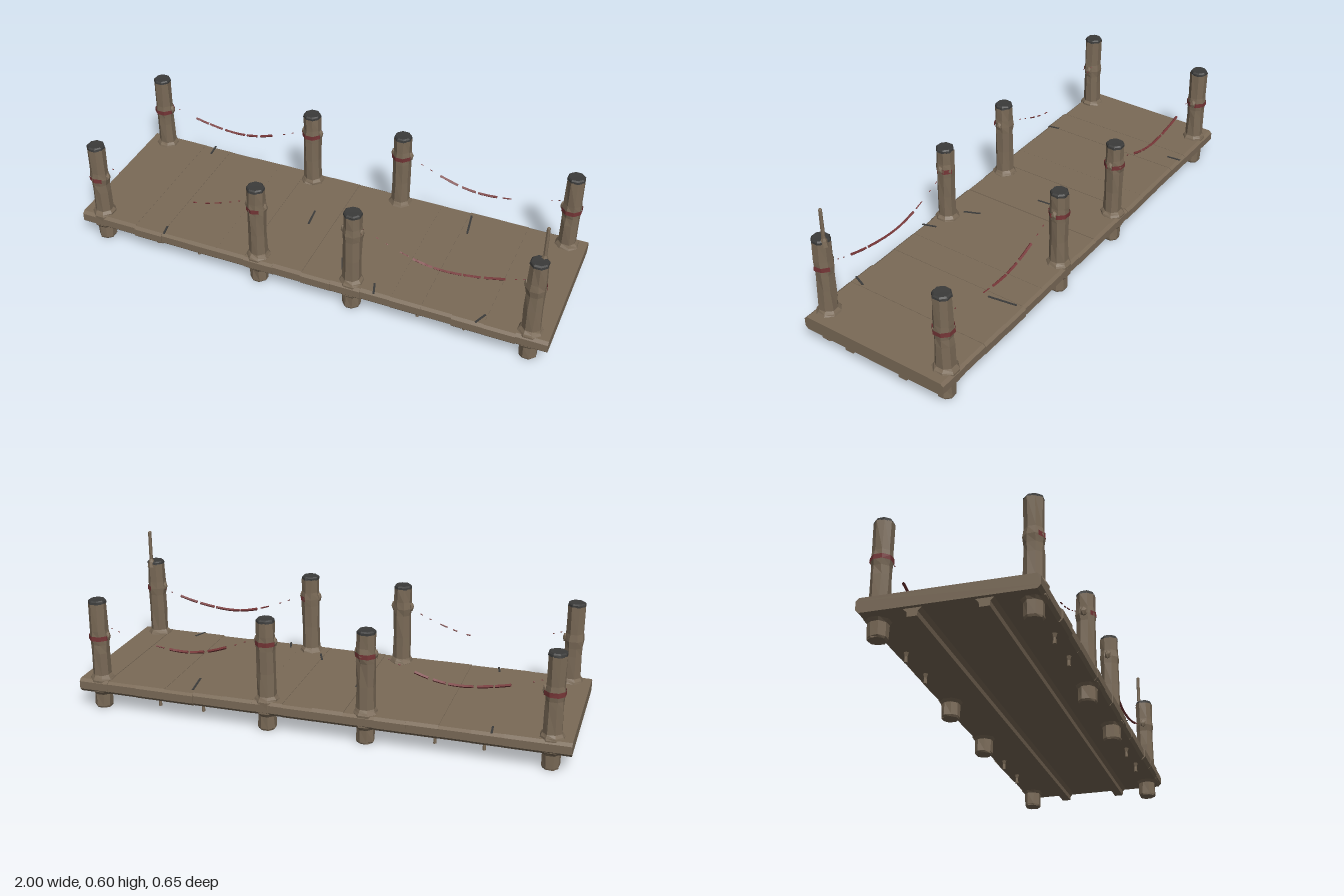
import * as THREE from 'three';

const wood = new THREE.MeshStandardMaterial({ color: 0x7a6a57 });
wood.name = 'weathered wood';
const char = new THREE.MeshStandardMaterial({ color: 0x3b3b3a });
char.name = 'dark end grain';
const red = new THREE.MeshStandardMaterial({ color: 0x743536, side: THREE.DoubleSide });
red.name = 'faded red rope';

const hash = (a, b, c) => {
  const s = Math.sin(a * 12.99 + b * 78.23 + c * 37.72) * 43758.55;
  return (s - Math.floor(s)) * 2 - 1;
};

// Shift matching corners together, then facet the surface
function rough(geometry, amount, seed = 0) {
  const p = geometry.attributes.position;
  for (let i = 0; i < p.count; i++) {
    const k = [p.getX(i), p.getY(i), p.getZ(i)].map(v => Math.round(v * 1000));
    const x = p.getX(i) + hash(k[0] + seed, k[1], k[2]) * amount;
    const z = p.getZ(i) + hash(k[2], k[0] + seed, k[1]) * amount;
    p.setXYZ(i, x, p.getY(i), z);
  }
  const flat = geometry.index ? geometry.toNonIndexed() : geometry;
  flat.computeVertexNormals();
  return flat;
}

function add(parent, name, geometry, material, x = 0, y = 0, z = 0) {
  const mesh = new THREE.Mesh(geometry, material);
  mesh.name = name;
  mesh.position.set(x, y, z);
  parent.add(mesh);
  return mesh;
}

const lathe = (points, sides = 8) =>
  new THREE.LatheGeometry(points.map(([r, y]) => new THREE.Vector2(r, y)), sides);

// A (z, y) outline swept along x, centred on x = 0
function sweepX(outline, length) {
  const shape = new THREE.Shape(outline.map(([z, y]) => new THREE.Vector2(-z, y)));
  const g = new THREE.ExtrudeGeometry(shape, { depth: length, bevelEnabled: false });
  g.translate(0, 0, -length / 2);
  g.rotateY(Math.PI / 2);
  return g;
}

function addPost(group, x, z, seed) {
  const post = new THREE.Group();
  post.name = 'post';
  post.position.set(x, 0, z);
  post.rotation.y = Math.PI / 8;
  group.add(post);
  const inner = Math.abs(x) < 0.5;
  const bandY = inner ? 0.365 : z > 0 && x > 0 ? 0.34 : 0.305;
  add(post, 'postShaft', rough(lathe([
    [0, 0], [0.033, 0], [0.037, 0.008], [0.037, 0.06], [0.05, 0.076], [0.05, 0.126],
    [0.046, 0.134], [0.038, 0.145], [0.037, 0.24], [bandY > 0.35 ? 0.038 : 0.036, bandY - 0.03],
    [0.04, bandY], [0.037, bandY + 0.03], [0.037, 0.452],
  ]), 0.0022, seed), wood);
  add(post, 'postTop', rough(lathe([[0.0375, 0.45], [0.036, 0.459], [0.031, 0.464], [0, 0.463]]),
    0.001, seed), char);

  // Worn rope wrap: whole on the back posts, a remnant on the front posts
  const whole = z < 0;
  const wrap = new THREE.CylinderGeometry(0.0425, 0.0425, 0.019, whole ? 8 : 2, 1, true,
    whole ? 0 : (x > 0 ? 0.9 : -1.3), whole ? Math.PI * 2 : Math.PI / 2);
  add(post, 'ropeWrap', rough(wrap, 0.001, seed), red, 0, bandY, 0);

  // Rope knots on the sides that face the neighbouring posts
  for (const side of [-1, 1]) {
    if (!inner && side === Math.sign(x)) continue;
    const knot = add(group, 'ropeKnot', rough(new THREE.IcosahedronGeometry(0.014, 0), 0.001, seed),
      wood, x + side * 0.037, bandY + 0.005, z);
    knot.scale.set(0.8, 1.5, 1);
  }
}

export function createModel() {
  const model = new THREE.Group();
  model.name = 'woodenWalkway';

  // Deck planks laid across the walkway, with uneven ends
  const deck = new THREE.Group();
  deck.name = 'deck';
  model.add(deck);
  const planks = 16, width = 2 / planks;
  for (let i = 0; i < planks; i++) {
    const f = 0.322 + hash(i, 1, 2) * 0.004, b = -0.322 + hash(i, 4, 3) * 0.004;
    const top = 0.126 + hash(i, 7, 5) * 0.0018;
    add(deck, 'plank', sweepX([
      [b + 0.012, 0.071], [b, 0.084], [b, 0.116], [b + 0.012, top],
      [f - 0.012, top], [f, 0.116], [f, 0.084], [f - 0.012, 0.071],
    ], width), wood, -1 + width * (i + 0.5), 0, 0);
  }

  // Thin dark cracks on the deck
  for (const [x, z, l, a] of [[-0.1, -0.02, 0.09, 0.1], [0.13, 0.2, 0.07, 0.4],
    [0.52, -0.23, 0.12, 0.15], [-0.62, 0.29, 0.05, 0.2], [0.73, 0.29, 0.06, -0.4],
    [-0.7, -0.29, 0.06, 0.1], [0.3, 0.29, 0.06, 0.3]]) {
    const crack = add(deck, 'crack', new THREE.BoxGeometry(0.008, 0.002, l), char, x, 0.128, z);
    crack.rotation.y = a;
  }

  // Tapered bearers under the deck
  for (const z of [-0.125, 0.125]) {
    add(model, 'bearer', sweepX([
      [-0.035, 0.073], [0.035, 0.073], [0.02, 0.058], [0.018, 0.04], [-0.018, 0.04], [-0.02, 0.058],
    ].reverse(), 1.97), wood, 0, 0, z);
  }

  // Posts and underside pegs in two mirrored rows
  let seed = 1;
  for (const z of [-0.272, 0.272]) {
    for (const x of [-0.92, -0.205, 0.2, 0.92]) addPost(model, x, z, seed++ * 17);
    for (const x of [-0.67, -0.48, 0.475, 0.665]) {
      add(model, 'peg', rough(lathe([[0, 0.03], [0.007, 0.032], [0.006, 0.055], [0.011, 0.073]], 6),
        0.0005), wood, x, 0, z);
    }
  }

  // Slim pole on one corner post
  add(model, 'pole', rough(lathe([[0.018, 0.44], [0.012, 0.464], [0.0075, 0.475], [0.007, 0.597],
    [0.005, 0.6], [0, 0.6]], 6), 0.0005), wood, 0.93, 0, 0.247);

  // Frayed rope remnants hanging along a sagging curve
  const sag = new THREE.CatmullRomCurve3([[0.24, 0.372], [0.37, 0.317], [0.47, 0.286], [0.56, 0.276],
    [0.68, 0.288], [0.8, 0.316], [0.885, 0.345]].map(([x, y]) => new THREE.Vector3(x, y, 0)));
  const addRope = (side, z, from, to, radius) => {
    const pts = [];
    for (let i = 0; i <= 4; i++) {
      const p = sag.getPoint(from + (to - from) * i / 4);
      pts.push(new THREE.Vector3(p.x * side, p.y, z));
    }
    const g = new THREE.TubeGeometry(new THREE.CatmullRomCurve3(pts), 5, radius, 4, false);
    add(model, 'ropeRemnant', rough(g, 0.0006), red);
  };
  const strands = [
    [-1, -0.26, [[0.2, 0.29], [0.32, 0.41], [0.43, 0.58], [0.6, 0.68], [0.69, 0.77]]],
    [1, -0.26, [[0.17, 0.3], [0.33, 0.44], [0.46, 0.58], [0.61, 0.66]]],
    [1, 0.25, [[0.19, 0.25], [0.28, 0.42], [0.43, 0.6], [0.61, 0.7], [0.72, 0.83]]],
    [-1, 0.25, [[0.17, 0.22], [0.26, 0.29], [0.36, 0.39]]],
  ];
  for (const [side, z, pieces] of strands) {
    for (const [from, to] of pieces) addRope(side, z, from, to, to - from > 0.06 ? 0.006 : 0.003);
    for (const t of [0.06, 0.11, 0.9, 0.96]) addRope(side, z, t, t + 0.012, 0.002);
  }
  return model;
}
